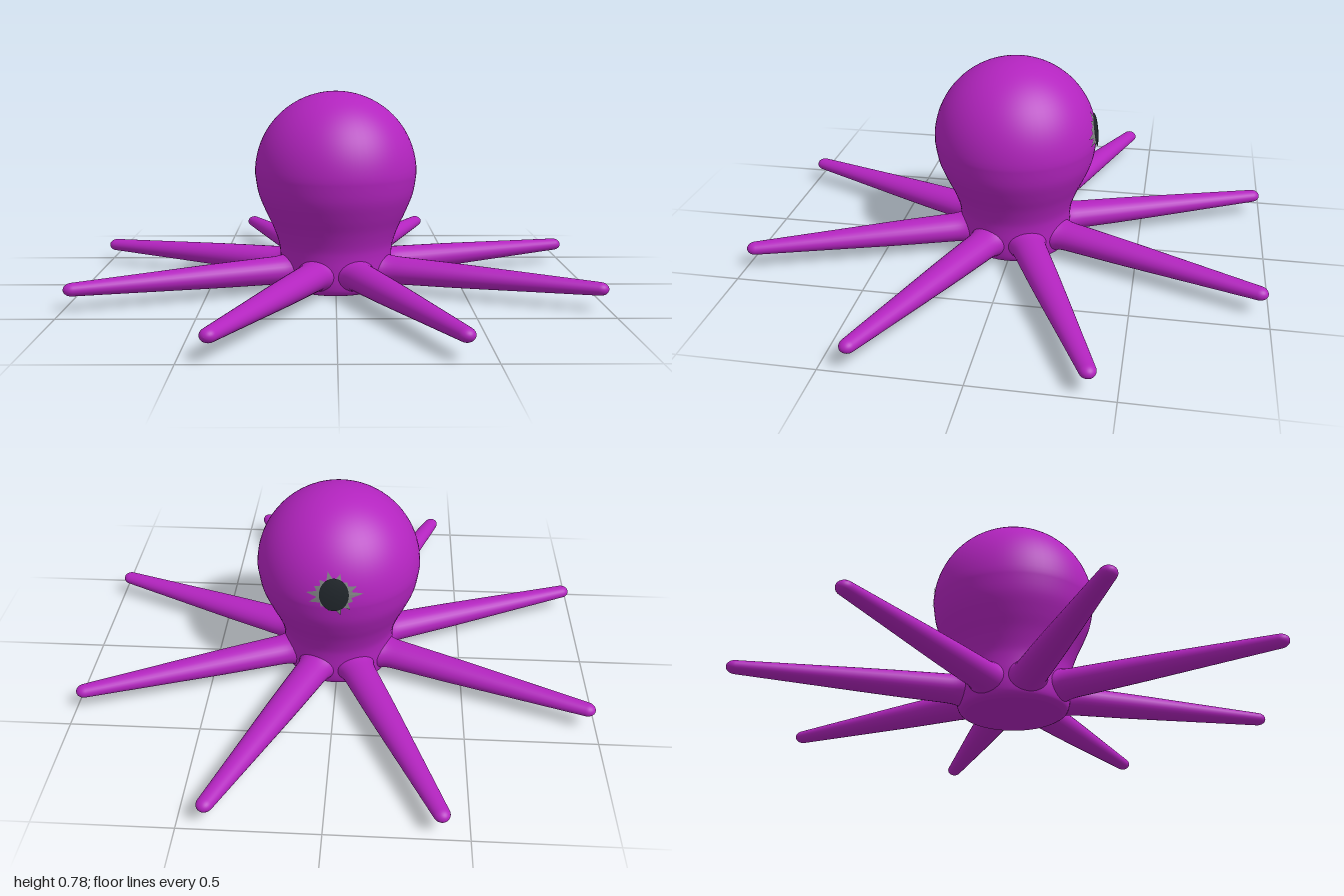
import * as THREE from 'three';

const HEAD_Y = 0.46, HEAD_R = 0.32;

// Plate wrapped on the back of the head; radiusAt(i) scales the outline per spoke
function headPatch(name, material, rx, ry, lift, radiusAt) {
  const spokes = 28;
  const geo = new THREE.RingGeometry(0.001, 1, spokes, 5);
  const pos = geo.attributes.position;
  for (let i = 0; i < pos.count; i++) {
    const k = radiusAt(i % (spokes + 1) % spokes);
    const x = pos.getX(i) * rx * k;
    const y = pos.getY(i) * ry * k + 0.05;
    pos.setXYZ(i, x, y, Math.sqrt((HEAD_R + lift) ** 2 - x * x - y * y));
  }
  geo.rotateY(Math.PI);
  geo.translate(0, HEAD_Y, 0);
  geo.computeVertexNormals();
  const mesh = new THREE.Mesh(geo, material);
  mesh.name = name;
  return mesh;
}

export function createModel() {
  const purple = new THREE.MeshStandardMaterial({ color: 0xb324bf });
  purple.name = 'purple skin';
  const black = new THREE.MeshStandardMaterial({ color: 0x20262b });
  black.name = 'dark spot';
  const gray = new THREE.MeshStandardMaterial({ color: 0x808284 });
  gray.name = 'gray rim';

  const group = new THREE.Group();
  group.name = 'octopus';

  // Body: flat foot, narrow neck, round head
  const lower = new THREE.SplineCurve([
    [0.185, 0], [0.208, 0.015], [0.218, 0.05], [0.221, 0.1], [0.223, 0.15], [0.23, 0.19],
    [0.252, 0.25], [0.28, 0.31], [0.307, 0.38], [HEAD_R, HEAD_Y],
  ].map(([x, y]) => new THREE.Vector2(x, y))).getPoints(40);
  const profile = [new THREE.Vector2(0, 0), ...lower];
  for (let i = 1; i <= 24; i++) {
    const a = (i / 24) * Math.PI / 2;
    profile.push(new THREE.Vector2(i === 24 ? 0 : HEAD_R * Math.cos(a), HEAD_Y + HEAD_R * Math.sin(a)));
  }
  const body = new THREE.Mesh(new THREE.LatheGeometry(profile, 64), purple);
  body.name = 'body';
  group.add(body);

  // Tentacles: tapered, slightly flattened, round tipped
  const arm = [[0.1, 0.09], [0.19, 0.08], [0.24, 0.068], [0.32, 0.064], [0.5, 0.057], [0.8, 0.042], [1.04, 0.03]]
    .map(([r, w]) => new THREE.Vector2(w, r));
  const armProfile = new THREE.SplineCurve(arm).getPoints(30);
  for (let i = 1; i <= 8; i++) {
    const a = (i / 8) * Math.PI / 2;
    armProfile.push(new THREE.Vector2(i === 8 ? 0 : 0.03 * Math.cos(a), 1.04 + 0.033 * Math.sin(a)));
  }
  const armGeo = new THREE.LatheGeometry(armProfile, 28);
  armGeo.rotateZ(-Math.PI / 2);
  armGeo.scale(1, 0.82, 1);
  armGeo.translate(0, 0.082, 0);
  for (let i = 0; i < 8; i++) {
    const tentacle = new THREE.Mesh(armGeo, purple);
    tentacle.name = 'tentacle' + (i + 1);
    tentacle.rotation.y = (i + 0.5) * Math.PI / 4;
    group.add(tentacle);
  }

  // Jagged spot on the back of the head
  group.add(headPatch('spotRim', gray, 0.11, 0.09, 0.003, (i) => (i % 2 ? 0.6 : 0.85 + 0.15 * Math.cos(i * 2.3))));
  group.add(headPatch('spot', black, 0.055, 0.065, 0.006, () => 1));

  return group;
}
